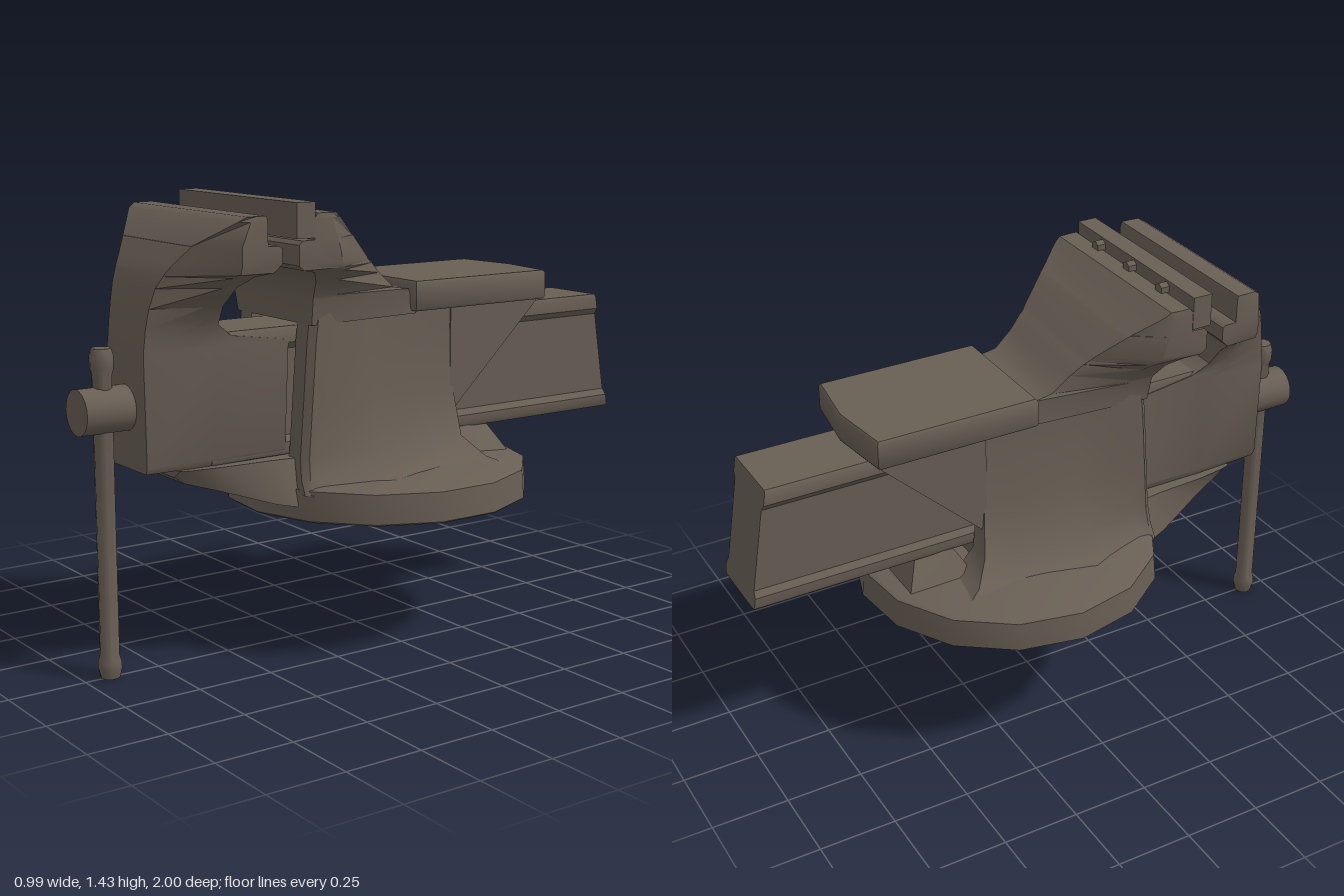
import * as THREE from 'three';
import { toCreasedNormals } from 'three/addons/utils/BufferGeometryUtils.js';

const castIron = new THREE.MeshStandardMaterial({ color: 0x685e54 });
castIron.name = 'castIron';
const CX = 0.007; // centre line of the casting

function add(group, name, geometry, x = 0, y = 0, z = 0, crease = 0.6) {
  const mesh = new THREE.Mesh(toCreasedNormals(geometry, crease), castIron);
  mesh.name = name;
  mesh.position.set(x, y, z);
  group.add(mesh);
  return mesh;
}

// Skin a closed solid over rings of [x, y, z] points, facing outwards
function loft(rings) {
  const n = rings[0].length, pos = rings.flat(), idx = [];
  for (let r = 0; r < rings.length - 1; r++) {
    for (let i = 0; i < n; i++) {
      const a = r * n + i, b = r * n + (i + 1) % n;
      idx.push(a, b, b + n, a, b + n, a + n);
    }
  }
  const last = (rings.length - 1) * n;
  for (let i = 1; i < n - 1; i++) idx.push(0, i + 1, i, last, last + i, last + i + 1);
  const v = pos.map(p => new THREE.Vector3(...p));
  let volume = 0;
  for (let i = 0; i < idx.length; i += 3) {
    volume += v[idx[i]].dot(v[idx[i + 1]].clone().cross(v[idx[i + 2]]));
  }
  if (volume < 0) idx.reverse();
  const g = new THREE.BufferGeometry();
  g.setAttribute('position', new THREE.Float32BufferAttribute(pos.flat(), 3));
  g.setIndex(idx);
  return g;
}

// Horizontal jaw section: inner face, shoulder and outer face, each [z, half width]
const jawRing = ([y, zi, wi, zm, wm, zo, wo]) => [
  [-wi, y, zi], [-wm, y, zm], [-wo, y, zo], [wo, y, zo], [wm, y, zm], [wi, y, zi],
];

// Flat outline of [a, b] points
const outline = pts => new THREE.Shape(pts.map(p => new THREE.Vector2(...p)));

export function createModel() {
  const vise = new THREE.Group();
  vise.name = 'benchVise';

  // Round foot, slightly domed above and below
  const foot = [[0, 0.435], [0.492, 0.447], [0.5, 0.453], [0.493, 0.545], [0.48, 0.552], [0.2, 0.577], [0, 0.58]];
  add(vise, 'base', new THREE.LatheGeometry(foot.map(p => new THREE.Vector2(...p)), 15, -Math.PI / 2), 0, 0, -0.08);

  // Side walls: flanged front edge, hollow middle, flared into the foot
  const wallRows = [ // y, front z, front x, middle x, back x, back z
    [0.53, 0.36, 0.25, 0.36, 0.33, -0.42],
    [0.575, 0.357, 0.225, 0.31, 0.27, -0.32],
    [0.64, 0.352, 0.212, 0.25, 0.21, -0.265],
    [0.8, 0.34, 0.212, 0.2, 0.18, -0.25],
    [1.0, 0.325, 0.212, 0.18, 0.175, -0.25],
    [1.12, 0.31, 0.212, 0.175, 0.175, -0.25],
  ];
  for (const s of [-1, 1]) {
    const side = s > 0 ? 'left' : 'right';
    const rings = wallRows.map(([y, zf, xf, xm, xb, zb]) => [
      [0.13, y, zf], [xf - 0.02, y, zf], [xf, y, zf - 0.02], [xf, y, zf - 0.06],
      [xm, y, 0.08], [xb, y, -0.15], [xb, y, zb], [0.13, y, zb],
    ].map(([x, h, z]) => [s * x, h, z]));
    add(vise, side + 'Wall', loft(rings), CX, 0, 0, 0.75);

    // Diagonal brace carrying the anvil
    const brace = new THREE.ExtrudeGeometry(
      outline([[0.24, 1.08], [0.6, 1.08], [0.6, 1.05], [0.24, 0.71]]), { depth: 0.055, bevelEnabled: false });
    brace.rotateY(Math.PI / 2);
    add(vise, side + 'Brace', brace, CX + (s > 0 ? 0.125 : -0.18));
  }

  // Floor under the slide, with its nose reaching out to the front
  const noseRows = [ // z, bottom y, bottom half width, top half width
    [-0.25, 0.5, 0.2, 0.15], [0.36, 0.49, 0.2, 0.16], [0.43, 0.505, 0.18, 0.15],
    [0.6, 0.56, 0.12, 0.14], [0.7, 0.59, 0.09, 0.125], [0.73, 0.612, 0.08, 0.115],
  ];
  add(vise, 'floor', loft(noseRows.map(([z, y, wb, wt]) => [
    [-wb, y, z], [wb, y, z], [wt, 0.637, z], [-wt, 0.637, z],
  ])), CX);
  add(vise, 'rearMound', loft([
    [[-0.2, 0.54, -0.27], [0.2, 0.54, -0.27], [0.17, 0.54, -0.51], [-0.17, 0.54, -0.51]],
    [[-0.12, 0.645, -0.33], [0.12, 0.645, -0.33], [0.1, 0.645, -0.455], [-0.1, 0.645, -0.455]],
  ]), CX);

  // Sliding bar with flanged edges and a raked rear end
  const half = [[0.112, 0.64], [0.118, 0.65], [0.118, 0.68], [0.104, 0.7], [0.104, 0.97], [0.118, 0.99], [0.118, 1.03], [0.112, 1.04]];
  const mirrored = half.map(([x, y]) => [-x, y]).reverse();
  const bar = new THREE.ExtrudeGeometry(outline([...half, ...mirrored]), { depth: 1.6, bevelEnabled: false });
  const p = bar.attributes.position;
  for (let i = 0; i < p.count; i++) {
    p.setZ(i, p.getZ(i) > 1 ? 0.62 : -1 + (p.getY(i) - 0.64) * 0.17);
  }
  add(vise, 'slideBar', bar, CX);

  // Anvil plate with a shallow point at the back
  const plate = new THREE.ExtrudeGeometry(
    outline([[-0.212, 0.075], [0.212, 0.075], [0.212, 0.612], [0, 0.64], [-0.212, 0.612]]),
    { depth: 0.079, bevelThickness: 0.008, bevelSize: 0.006, bevelOffset: -0.006, bevelSegments: 1 });
  plate.rotateX(-Math.PI / 2);
  add(vise, 'anvil', plate, CX, 1.068, 0, 0.9);

  // Fixed jaw sweeping up and out from the body
  const fixedRows = [
    [1.05, 0.32, 0.21, 0.24, 0.205, -0.1, 0.18],
    [1.13, 0.325, 0.225, 0.25, 0.22, -0.07, 0.178],
    [1.14, 0.327, 0.23, 0.25, 0.225, -0.01, 0.178],
    [1.19, 0.345, 0.27, 0.26, 0.26, 0.05, 0.185],
    [1.225, 0.38, 0.315, 0.27, 0.31, 0.09, 0.2],
    [1.235, 0.43, 0.333, 0.285, 0.325, 0.105, 0.205],
    [1.25, 0.447, 0.335, 0.29, 0.333, 0.12, 0.215],
    [1.31, 0.447, 0.335, 0.305, 0.335, 0.195, 0.26],
    [1.322, 0.435, 0.335, 0.31, 0.335, 0.21, 0.27],
    [1.323, 0.392, 0.335, 0.31, 0.335, 0.212, 0.27],
    [1.385, 0.392, 0.335, 0.33, 0.335, 0.295, 0.325],
    [1.4, 0.38, 0.333, 0.35, 0.333, 0.315, 0.33],
  ];
  add(vise, 'fixedJaw', loft(fixedRows.map(jawRing)), CX);

  // Jaw insert and its three bolts
  add(vise, 'jawInsert', new THREE.BoxGeometry(0.674, 0.105, 0.065), CX, 1.381, 0.423);
  for (const x of [-0.185, 0, 0.185]) {
    const bolt = new THREE.CylinderGeometry(0.02, 0.02, 0.04, 6);
    bolt.rotateX(Math.PI / 2);
    add(vise, 'insertBolt', bolt, x + CX, 1.408, 0.382);
  }

  // Moving jaw: body block rising into a hooked head
  const movingRows = [
    [0.638, 0.37, 0.105, 0.6, 0.11, 0.835, 0.1],
    [0.66, 0.36, 0.12, 0.6, 0.122, 0.838, 0.112],
    [1.0, 0.345, 0.12, 0.6, 0.122, 0.842, 0.112],
    [1.03, 0.55, 0.122, 0.67, 0.128, 0.838, 0.112],
    [1.07, 0.605, 0.14, 0.68, 0.14, 0.834, 0.113],
    [1.13, 0.612, 0.18, 0.67, 0.175, 0.824, 0.118],
    [1.19, 0.607, 0.25, 0.65, 0.24, 0.808, 0.13],
    [1.225, 0.585, 0.31, 0.645, 0.3, 0.79, 0.145],
    [1.235, 0.53, 0.33, 0.64, 0.325, 0.785, 0.15],
    [1.26, 0.505, 0.335, 0.64, 0.335, 0.768, 0.165],
    [1.305, 0.505, 0.335, 0.64, 0.335, 0.735, 0.2],
    [1.312, 0.515, 0.335, 0.64, 0.335, 0.73, 0.205],
    [1.313, 0.553, 0.335, 0.64, 0.335, 0.73, 0.205],
    [1.385, 0.553, 0.335, 0.61, 0.335, 0.645, 0.32],
    [1.4, 0.557, 0.333, 0.59, 0.333, 0.62, 0.33],
  ];
  add(vise, 'movingJaw', loft(movingRows.map(jawRing)), CX);

  // Screw head
  const screw = new THREE.CylinderGeometry(0.07, 0.07, 0.18, 20);
  screw.rotateX(Math.PI / 2);
  add(vise, 'screwHead', screw, -0.003, 0.825, 0.91);

  // Handle rod with a knob at each end
  const rod = [
    [0, 0], [0.03, 0], [0.037, 0.03], [0.036, 0.05], [0.03, 0.07],
    [0.03, 0.93], [0.036, 0.95], [0.037, 0.985], [0.03, 1.01], [0, 1.01],
  ];
  add(vise, 'handle', new THREE.LatheGeometry(rod.map(q => new THREE.Vector2(...q)), 10), -0.003, 0, 0.915, 0.8);

  return vise;
}
